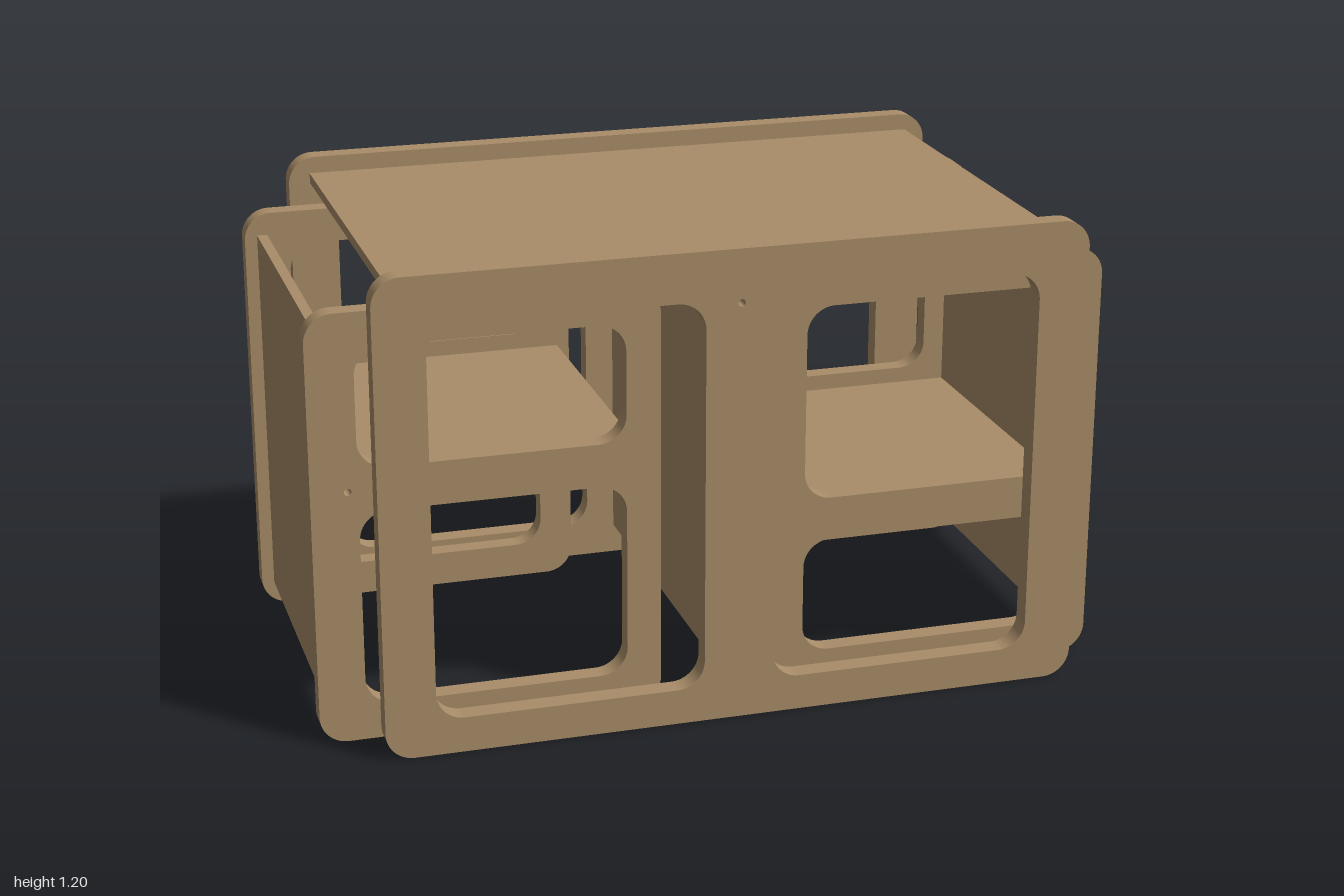
import * as THREE from 'three';

const wood = new THREE.MeshStandardMaterial({ color: 0xa98d68 });

// Traces a rounded rectangle on a Shape or Path.
function roundedRect(path, x0, y0, x1, y1, r) {
  path.moveTo(x0 + r, y0);
  path.lineTo(x1 - r, y0);
  path.absarc(x1 - r, y0 + r, r, -Math.PI / 2, 0);
  path.lineTo(x1, y1 - r);
  path.absarc(x1 - r, y1 - r, r, 0, Math.PI / 2);
  path.lineTo(x0 + r, y1);
  path.absarc(x0 + r, y1 - r, r, Math.PI / 2, Math.PI);
  path.lineTo(x0, y0 + r);
  path.absarc(x0 + r, y0 + r, r, Math.PI, Math.PI * 1.5);
  return path;
}

// Flat frame with rounded windows and one small screw hole, starting at depth z.
function addFrame(parent, name, outline, windows, screw, z, depth) {
  const shape = roundedRect(new THREE.Shape(), ...outline, 0.07);
  for (const w of windows) shape.holes.push(roundedRect(new THREE.Path(), ...w, 0.07));
  const hole = new THREE.Path();
  hole.absarc(screw[0], screw[1], 0.009, 0, Math.PI * 2);
  shape.holes.push(hole);
  const geometry = new THREE.ExtrudeGeometry(shape, { depth, bevelEnabled: false, curveSegments: 10 });
  const mesh = new THREE.Mesh(geometry, wood);
  mesh.name = name;
  mesh.position.z = z;
  parent.add(mesh);
}

// Box panel given by its two opposite corners.
function addPanel(parent, name, [x0, y0, z0], [x1, y1, z1]) {
  const mesh = new THREE.Mesh(new THREE.BoxGeometry(x1 - x0, y1 - y0, z1 - z0), wood);
  mesh.name = name;
  mesh.position.set((x0 + x1) / 2, (y0 + y1) / 2, (z0 + z1) / 2);
  parent.add(mesh);
}

// Large table: two frames, top and central divider.
function makeOuterTable() {
  const table = new THREE.Group();
  table.name = 'outerTable';
  const windows = [[-0.74, 0.09, -0.07, 1.08], [0.105, 0.09, 0.775, 1.08]];
  for (const [name, z] of [['outerFrontFrame', 0.53], ['outerBackFrame', -0.583]]) {
    addFrame(table, name, [-0.865, 0, 0.9, 1.203], windows, [0.0175, 1.07], z, 0.053);
  }
  addPanel(table, 'tableTop', [-0.81, 1.134, -0.53], [0.845, 1.16, 0.53]);
  addPanel(table, 'centralDivider', [0.005, 0.08, -0.53], [0.03, 1.134, 0.53]);
  return table;
}

// Small nested unit on the left: two frames, side panel and shelf.
function makeNestedUnit(name) {
  const unit = new THREE.Group();
  unit.name = name;
  const windows = [[-0.885, 0.09, -0.228, 0.59], [-0.885, 0.7, -0.228, 1]];
  for (const [part, z] of [['nestedFrontFrame', 0.398], ['nestedBackFrame', -0.488]]) {
    addFrame(unit, part, [-1, 0, -0.142, 1.088], windows, [-0.91, 0.645], z, 0.051);
  }
  addPanel(unit, 'sidePanel', [-0.968, 0.06, -0.437], [-0.942, 1.03, 0.398]);
  addPanel(unit, 'shelf', [-0.942, 0.632, -0.437], [-0.175, 0.658, 0.398]);
  return unit;
}

export function createModel() {
  const model = new THREE.Group();
  model.name = 'nestingTables';
  model.add(makeOuterTable(), makeNestedUnit('leftNestedUnit'));

  // The right unit is the same piece turned upside down.
  const right = makeNestedUnit('rightNestedUnit');
  right.rotation.z = Math.PI;
  right.position.y = 1.088;
  model.add(right);
  return model;
}
